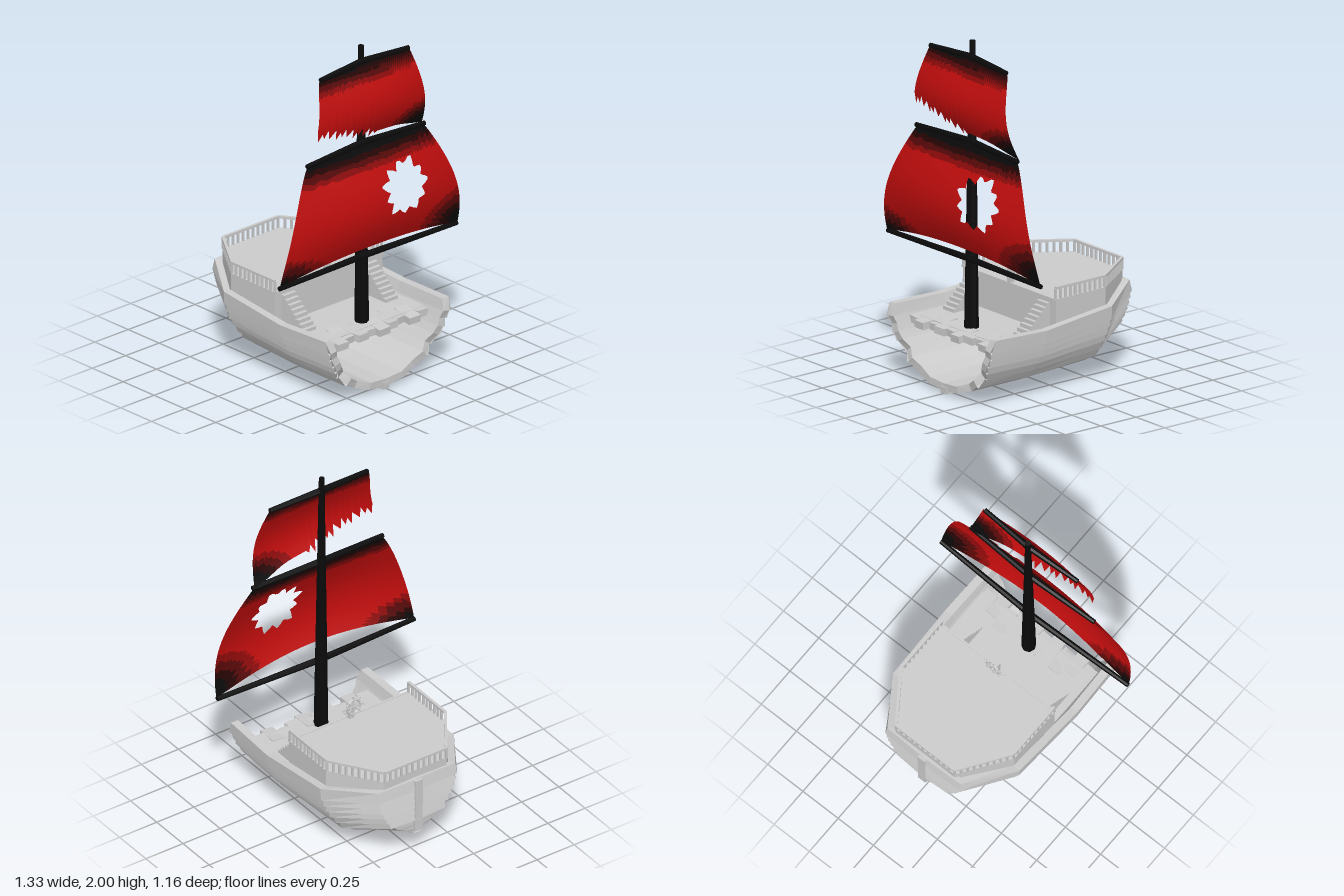
import * as THREE from 'three';

const V = (x, y, z) => new THREE.Vector3(x, y, z);
const lerp = THREE.MathUtils.lerp;
const mat = (color, flat = true) =>
  new THREE.MeshStandardMaterial({ color, flatShading: flat, side: THREE.DoubleSide });
const grey = mat(0xcccccc), black = mat(0x0a0a0a);
const tones = [0xc00d0d, 0x8c0a0a, 0x560808, 0x260505, 0x0a0a0a].map(c => mat(c, false));

function add(parent, name, geometry, material = grey) {
  const m = new THREE.Mesh(geometry, material);
  m.name = name;
  parent.add(m);
  return m;
}
function group(parent, name) {
  const g = new THREE.Group();
  g.name = name;
  parent.add(g);
  return g;
}
function box(parent, name, w, h, d, x, y, z) {
  const m = add(parent, name, new THREE.BoxGeometry(w, h, d));
  m.position.set(x, y, z);
  return m;
}
// Square bar from a to b
function beam(parent, name, a, b, w, h) {
  const m = add(parent, name, new THREE.BoxGeometry(w, h, a.distanceTo(b)));
  m.position.copy(a).lerp(b, 0.5);
  m.lookAt(b);
  return m;
}
// Surface through rows of points
function grid(rows) {
  const n = rows[0].length, index = [];
  for (let i = 0; i < rows.length - 1; i++)
    for (let j = 0; j < n - 1; j++) {
      const a = i * n + j, b = a + n;
      index.push(a, b, a + 1, b, b + 1, a + 1);
    }
  const g = new THREE.BufferGeometry().setFromPoints(rows.flat());
  g.setIndex(index);
  g.computeVertexNormals();
  return g;
}
// Horizontal slab from [x, z] corners
function slab(parent, name, corners, y, h) {
  const s = new THREE.Shape(corners.map(([x, z]) => new THREE.Vector2(x, -z)));
  const g = new THREE.ExtrudeGeometry(s, { depth: h, bevelEnabled: false });
  g.rotateX(-Math.PI / 2).translate(0, y, 0);
  return add(parent, name, g);
}

// Hull half section, keel to gunwale, and the stations it is scaled to
const section = [[0, 0.02], [0.13, 0.032], [0.23, 0.068], [0.3, 0.115], [0.345, 0.165],
  [0.385, 0.215], [0.412, 0.26], [0.432, 0.305], [0.45, 0.35], [0.468, 0.42]];
const tornBow = [0.545, 0.55, 0.535, 0.555, 0.53, 0.56, 0.57, 0.565, 0.58, 0.555];
const stations = [
  { z: 0.55, sx: 0.985, y0: 0.02, y1: 0.42 },
  { z: 0.2, sx: 1.005, y0: 0.024, y1: 0.41 },
  { z: -0.28, sx: 0.96, y0: 0.035, y1: 0.45 },
  { z: -0.56, sx: 0.555, y0: 0.165, y1: 0.5 },
  { z: -0.57, sx: 0, y0: 0.165, y1: 0.505 },
];
// One row around the hull: right bow, stern, left bow
function hullRow(level, out, inner) {
  let [px, py] = section[level];
  if (inner) { px *= 0.9; py = 0.42 - (0.42 - py) * 0.9; }
  const half = stations.map((s, k) => {
    const z = k === 0 ? tornBow[level] : s.z + (k > 2 ? (inner ? 0.03 : -out) : 0);
    const x = s.sx ? px * s.sx + out : 0;
    return V(x, lerp(s.y0, s.y1, (py - 0.02) / 0.4) - out * 0.4, z);
  });
  return [...half.map(p => V(-p.x, p.y, p.z)), ...half.slice(0, -1).reverse()];
}

function buildHull(root) {
  const hull = group(root, 'hull');
  const top = section.length - 1, outer = [], inner = [];
  for (let i = 0; i < top; i++) {
    outer.push(hullRow(i, i > 2 ? 0.014 : 0), hullRow(i + 1, 0));
  }
  for (let i = top; i >= 0; i--) inner.push(hullRow(i, 0, true));
  add(hull, 'planking', grid(outer));
  add(hull, 'innerHull', grid(inner));
  add(hull, 'gunwale', grid([hullRow(top, 0), hullRow(top, 0, true)]));
  // Broken edge joining the two skins
  for (const end of [0, 2 * stations.length - 2]) {
    add(hull, 'brokenEdge', grid(section.map((p, i) =>
      [hullRow(i, 0)[end], hullRow(i, 0, true)[end]])));
  }
  const keel = [V(0, 0.022, 0.55), V(0, 0.034, -0.28), V(0, 0.165, -0.562), V(0, 0.5, -0.565)];
  for (let i = 0; i < 3; i++) beam(hull, i < 2 ? 'keel' : 'sternPost', keel[i], keel[i + 1], 0.05, 0.04);
}

function buildDecks(root) {
  const decks = group(root, 'decks');
  slab(decks, 'mainDeck', [[-0.395, 0.43], [0.395, 0.43], [0.395, -0.2], [-0.395, -0.2]], 0.3, 0.045);
  // Splintered planks at the broken end
  [0.47, 0.5, 0.455, 0.49, 0.465, 0.5, 0.475, 0.45, 0.495, 0.465].forEach((z, i) => {
    const p = box(decks, 'deckPlank', 0.078, 0.042, 0.14, -0.351 + i * 0.078, 0.323, z - 0.07);
    p.rotation.set(0.05 * (i % 3), 0.06 * ((i % 4) - 1.5), 0.04 * ((i % 3) - 1));
  });
  const outline = [[0.405, 0.08], [0.405, -0.27], [0.21, -0.55]];
  const full = [...outline, ...outline.map(([x, z]) => [-x, z]).reverse()];
  slab(decks, 'quarterdeck', full, 0.33, 0.22);
  box(decks, 'deckLip', 0.81, 0.012, 0.014, 0, 0.547, 0.083);

  // Railing around sides and stern
  const rail = group(root, 'railing');
  for (let i = 0; i < full.length - 1; i++) {
    const a = V(full[i][0] * 0.985, 0.615, full[i][1]), b = V(full[i + 1][0] * 0.985, 0.615, full[i + 1][1]);
    beam(rail, 'handrail', a, b, 0.016, 0.014);
    const n = Math.round(a.distanceTo(b) / 0.036);
    for (let k = 0; k <= n; k++) {
      const p = a.clone().lerp(b, k / n);
      box(rail, 'baluster', 0.012, 0.065, 0.012, p.x, 0.58, p.z);
    }
  }
  // Stairs either side
  for (const s of [-1, 1]) {
    const stairs = group(root, 'stairs');
    for (let i = 0; i < 8; i++) {
      const h = 0.022 * (i + 1);
      box(stairs, 'step', 0.09, h, 0.024, s * 0.306, 0.343 + h / 2, 0.252 - i * 0.023);
    }
  }
}

function buildWheel(root) {
  const wheel = group(root, 'steeringWheel');
  box(wheel, 'pedestal', 0.03, 0.1, 0.03, 0, 0.595, 0.072);
  const axle = add(wheel, 'axle', new THREE.CylinderGeometry(0.01, 0.01, 0.05, 8));
  axle.rotation.x = Math.PI / 2;
  axle.position.set(0, 0.635, 0.055);
  add(wheel, 'rim', new THREE.TorusGeometry(0.045, 0.006, 6, 16)).position.set(0, 0.635, 0.042);
  for (let i = 0; i < 4; i++) {
    box(wheel, 'spoke', 0.007, 0.136, 0.007, 0, 0.635, 0.042).rotation.z = i * Math.PI / 4;
  }
}

function buildMast(root) {
  const mast = group(root, 'mast');
  const pole = add(mast, 'pole', new THREE.CylinderGeometry(0.016, 0.041, 1.67, 8), black);
  pole.position.set(0, 1.165, 0.347);
  pole.rotation.x = -0.004;
  // Yards, thicker and slightly raised in the middle
  for (const [y, z, half, droop] of [[0.752, 0.393, 0.665, 0], [1.425, 0.375, 0.44, 0.012], [1.908, 0.365, 0.33, 0.012]]) {
    for (const s of [-1, 1]) {
      const a = V(0, y, z - 0.012), b = V(s * half, y - droop, z + 0.008);
      const yard = add(mast, 'yard', new THREE.CylinderGeometry(0.014, 0.019, a.distanceTo(b), 8), black);
      yard.position.copy(a).lerp(b, 0.5);
      yard.quaternion.setFromUnitVectors(V(0, 1, 0), b.clone().sub(a).normalize());
    }
  }
}

// Splits a sail into cloth patches by how scorched each face is
function addSail(root, name, geometry, burn) {
  const sail = group(root, name);
  const p = geometry.attributes.position, idx = geometry.index.array, lists = tones.map(() => []);
  for (let i = 0; i < idx.length; i += 3) {
    const t = [idx[i], idx[i + 1], idx[i + 2]];
    const x = (p.getX(t[0]) + p.getX(t[1]) + p.getX(t[2])) / 3;
    const y = (p.getY(t[0]) + p.getY(t[1]) + p.getY(t[2])) / 3;
    lists[Math.round(THREE.MathUtils.clamp(burn(x, y), 0, 1) * 4)].push(...t);
  }
  lists.forEach((list, k) => {
    if (!list.length) return;
    const g = geometry.clone();
    g.setIndex(list);
    add(sail, name + 'Cloth', g, tones[k]);
  });
}

function buildLowerSail(root) {
  const width = v => 0.43 + 0.235 * Math.sin(Math.min(v, 1) * 1.57) ** 0.9;
  const place = (u, v) => {
    const arch = 0.075 * (1 - u * u) * v * v;
    return V(u * width(v), 1.415 - 0.66 * v + arch, 0);
  };
  const depth = p => {
    const v = THREE.MathUtils.clamp((1.415 - p.y) / 0.66, 0, 1), u = p.x / width(v);
    p.z = lerp(0.378, 0.405, v) + 0.11 * Math.sin(Math.PI * v ** 1.15) * (1 - 0.5 * u * u);
    return p;
  };
  // Border points, then rings shrinking to the torn hole
  const border = [], n = 22;
  for (const [u0, v0, u1, v1] of [[-1, 0, 1, 0], [1, 0, 1, 1], [1, 1, -1, 1], [-1, 1, -1, 0]])
    for (let i = 0; i < n; i++) border.push(place(lerp(u0, u1, i / n), lerp(v0, v1, i / n)));
  border.push(border[0].clone());
  const spikes = [0.18, 0.125, 0.165, 0.12, 0.19, 0.13, 0.17, 0.115, 0.175, 0.13, 0.185, 0.12,
    0.16, 0.125, 0.185, 0.13, 0.17, 0.12, 0.18, 0.13, 0.165, 0.12];
  const rows = [];
  for (let r = 0; r <= 14; r++) {
    rows.push(border.map(b => {
      const a = Math.atan2(b.y - 1.13, b.x - 0.21);
      const t = (a / (2 * Math.PI) + 1) % 1 * spikes.length, k = Math.floor(t);
      const rad = lerp(spikes[k], spikes[(k + 1) % spikes.length], t - k);
      return depth(V(0.21 + rad * Math.cos(a), 1.13 + rad * 0.92 * Math.sin(a), 0).lerp(b, r / 14));
    }));
  }
  addSail(root, 'lowerSail', grid(rows), (x, y) => Math.max((y - 1.27) / 0.12,
    1.15 - Math.hypot((x + 0.66) / 0.32, (y - 0.76) / 0.14),
    1.15 - Math.hypot((x - 0.66) / 0.3, (y - 0.8) / 0.19)));
}

function buildUpperSail(root) {
  const rows = [], n = 44;
  const lowEdge = new THREE.SplineCurve([[-1, 1.59], [-0.5, 1.555], [0, 1.5], [0.5, 1.475], [1, 1.42]]
    .map(p => new THREE.Vector2(...p)));
  for (let r = 0; r <= 16; r++) {
    const row = [];
    for (let i = 0; i <= n; i++) {
      const u = i / n * 2 - 1;
      // Ragged teeth on the torn half
      const torn = u < 0.1 ? [0.03, -0.03, 0.015, -0.015, 0.035, -0.02, 0.005][i % 7] : 0;
      const y = lerp(1.902, lowEdge.getPoint(i / n).y + torn, r / 16), v = (1.902 - y) / 0.482;
      const z = 0.368 + 0.092 * Math.sin(Math.PI * Math.min(v, 1) ** 1.15) * (1 - 0.35 * u * u);
      row.push(V(u * (0.33 + 0.105 * Math.max(v, 0) ** 0.75), y, z));
    }
    rows.push(row);
  }
  addSail(root, 'upperSail', grid(rows), (x, y) => Math.max((y - 1.79) / 0.11,
    1.35 - Math.hypot((x - 0.43) / 0.24, (y - 1.44) / 0.12)));
}

export function createModel() {
  const root = new THREE.Group();
  root.name = 'shipwreck';
  [buildHull, buildDecks, buildWheel, buildMast, buildLowerSail, buildUpperSail].forEach(f => f(root));
  return root;
}
